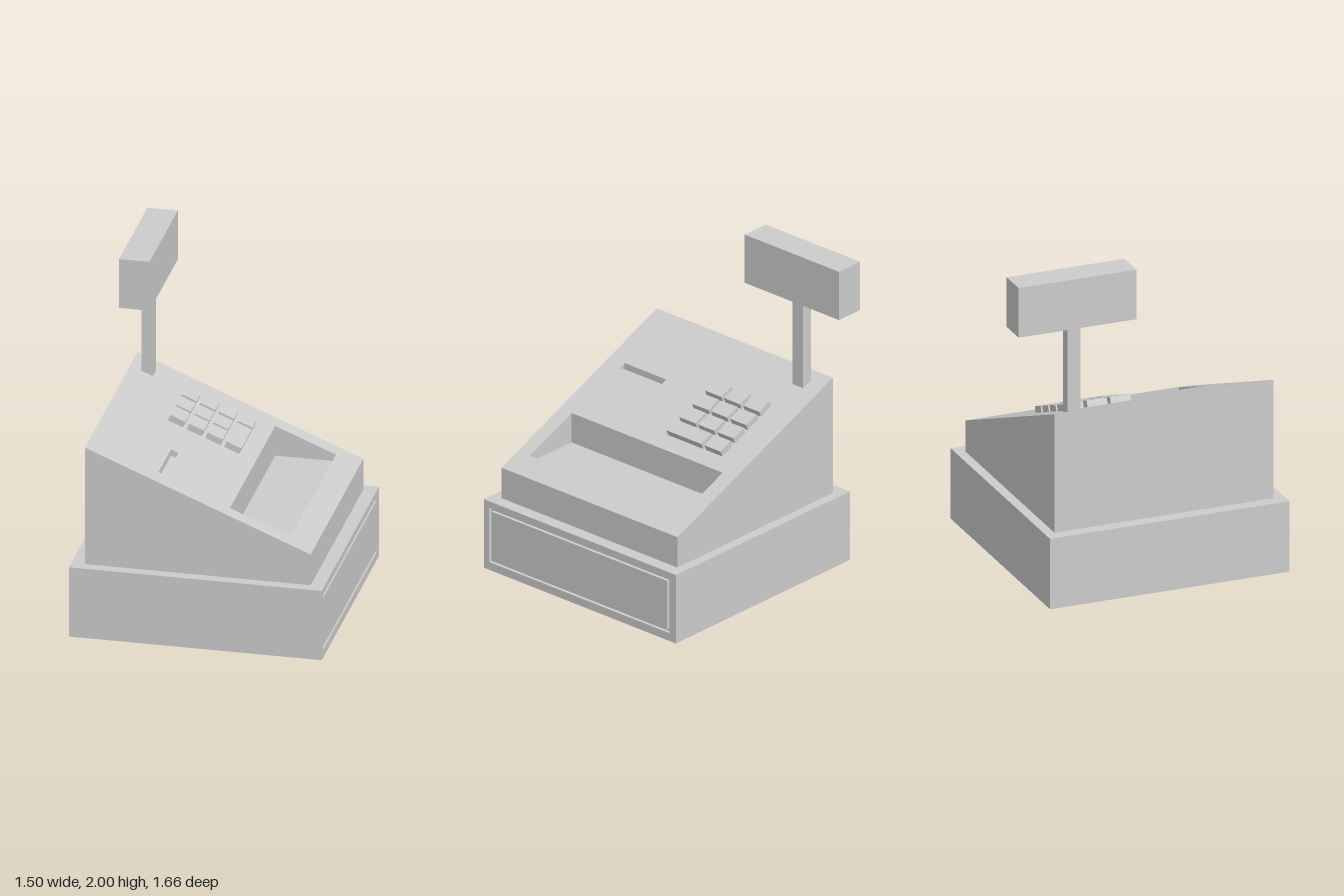
import * as THREE from 'three';

const solid = new THREE.MeshStandardMaterial({ color: 0xcccccc, flatShading: true });
const shell = new THREE.MeshStandardMaterial({ color: 0xcccccc, flatShading: true, side: THREE.DoubleSide });

// Height of the sloping keyboard deck at a given x
const SLOPE = (0.635 - 1.18) / 1.34;
const TILT = Math.atan(SLOPE);
const deckY = (x) => 0.635 + (x - 0.67) * SLOPE;

// Four corners of a horizontal rectangle [x0, x1, z0, z1]; height may depend on x
const rectLoop = ([x0, x1, z0, z1], y) =>
  [[x0, z1], [x1, z1], [x1, z0], [x0, z0]].map(([x, z]) => [x, typeof y === 'function' ? y(x) : y, z]);

// Four corners of a rectangle in the drawer side, [z0, z1, y0, y1] at depth x
const sideLoop = ([z0, z1, y0, y1], x) => [[x, y0, z1], [x, y0, z0], [x, y1, z0], [x, y1, z1]];

// Skin joining successive four-corner loops, optionally capped or with one side left out
function skin(loops, { cap = false, skip = -1 } = {}) {
  const pos = [];
  const quad = (a, b, c, d) => pos.push(...a, ...b, ...c, ...a, ...c, ...d);
  for (let k = 0; k < loops.length - 1; k++) {
    const [a, b] = [loops[k], loops[k + 1]];
    for (let i = 0; i < 4; i++) {
      const j = (i + 1) % 4;
      if (i !== skip) quad(a[i], a[j], b[j], b[i]);
    }
  }
  if (cap) quad(...loops[loops.length - 1]);
  const geometry = new THREE.BufferGeometry();
  geometry.setAttribute('position', new THREE.Float32BufferAttribute(pos, 3));
  geometry.computeVertexNormals();
  return geometry;
}

export function createModel() {
  const group = new THREE.Group();
  const add = (name, geometry, material = shell, parent = group) => {
    const mesh = new THREE.Mesh(geometry, material);
    mesh.name = name;
    parent.add(mesh);
    return mesh;
  };
  const addBox = (name, x0, x1, y0, y1, z0, z1) =>
    add(name, new THREE.BoxGeometry(x1 - x0, y1 - y0, z1 - z0), solid)
      .position.set((x0 + x1) / 2, (y0 + y1) / 2, (z0 + z1) / 2);

  const base = [-0.75, 0.75, -0.67, 0.83];
  const body = [-0.67, 0.67, -0.61, 0.765];
  const tray = [0.17, 0.53, -0.51, 0.67];
  const slot = [-0.26, -0.215, 0.32, 0.645];

  // Hollow base, open below; its +x side is the drawer front
  add('baseWalls', skin([rectLoop(base, 0), rectLoop(base, 0.44)], { skip: 1 }));
  add('baseLedge', skin([rectLoop(base, 0.44), rectLoop(body, 0.44)]));
  add('drawerFront', skin([
    sideLoop([-0.67, 0.83, 0, 0.44], 0.75),
    sideLoop([-0.62, 0.79, 0.05, 0.4], 0.75),
    sideLoop([-0.62, 0.79, 0.05, 0.4], 0.73),
    sideLoop([-0.602, 0.77, 0.07, 0.38], 0.73),
    sideLoop([-0.602, 0.77, 0.07, 0.38], 0.75),
  ], { cap: true }));

  // Wedge-shaped body
  add('bodyWalls', skin([rectLoop(body, 0.44), rectLoop(body, deckY)]));

  // Sloping deck with openings for the tray and the slot
  const outline = (Type, [x0, x1, z0, z1]) => new Type(
    [[x0, -z1], [x1, -z1], [x1, -z0], [x0, -z0]].map(([x, y]) => new THREE.Vector2(x, y)));
  const deckShape = outline(THREE.Shape, body);
  deckShape.holes.push(outline(THREE.Path, tray), outline(THREE.Path, slot));
  const deck = new THREE.ShapeGeometry(deckShape).rotateX(-Math.PI / 2);
  const p = deck.attributes.position;
  for (let i = 0; i < p.count; i++) p.setY(i, deckY(p.getX(i)));
  deck.computeVertexNormals();
  add('deck', deck);

  // Recesses in the deck
  add('tray', skin([rectLoop(tray, deckY), rectLoop(tray, 0.65)], { cap: true }));
  add('paperSlot', skin([rectLoop(slot, deckY), rectLoop(slot, (x) => deckY(x) - 0.04)], { cap: true }));

  // Keypad lying on the deck, with one double-length key
  const keypad = new THREE.Group();
  keypad.name = 'keypad';
  keypad.position.set(-0.35, deckY(-0.35), 0);
  keypad.rotation.z = TILT;
  group.add(keypad);
  const rows = [[-0.418, -0.292], [-0.268, -0.142], [-0.122, 0.005]];
  for (let col = 0; col < 4; col++) {
    const keys = col < 3 ? rows : [rows[0], [rows[1][0], rows[2][1]]];
    for (const [z0, z1] of keys) {
      add('key', new THREE.BoxGeometry(0.096, 0.042, z1 - z0), solid, keypad)
        .position.set(0.048 + col * 0.12, 0.018, (z0 + z1) / 2);
    }
  }

  // Customer display on its pole
  addBox('displayPole', -0.602, -0.535, 1.122, 1.69, -0.5, -0.417);
  addBox('display', -0.662, -0.481, 1.69, 2, -0.83, -0.092);

  return group;
}
